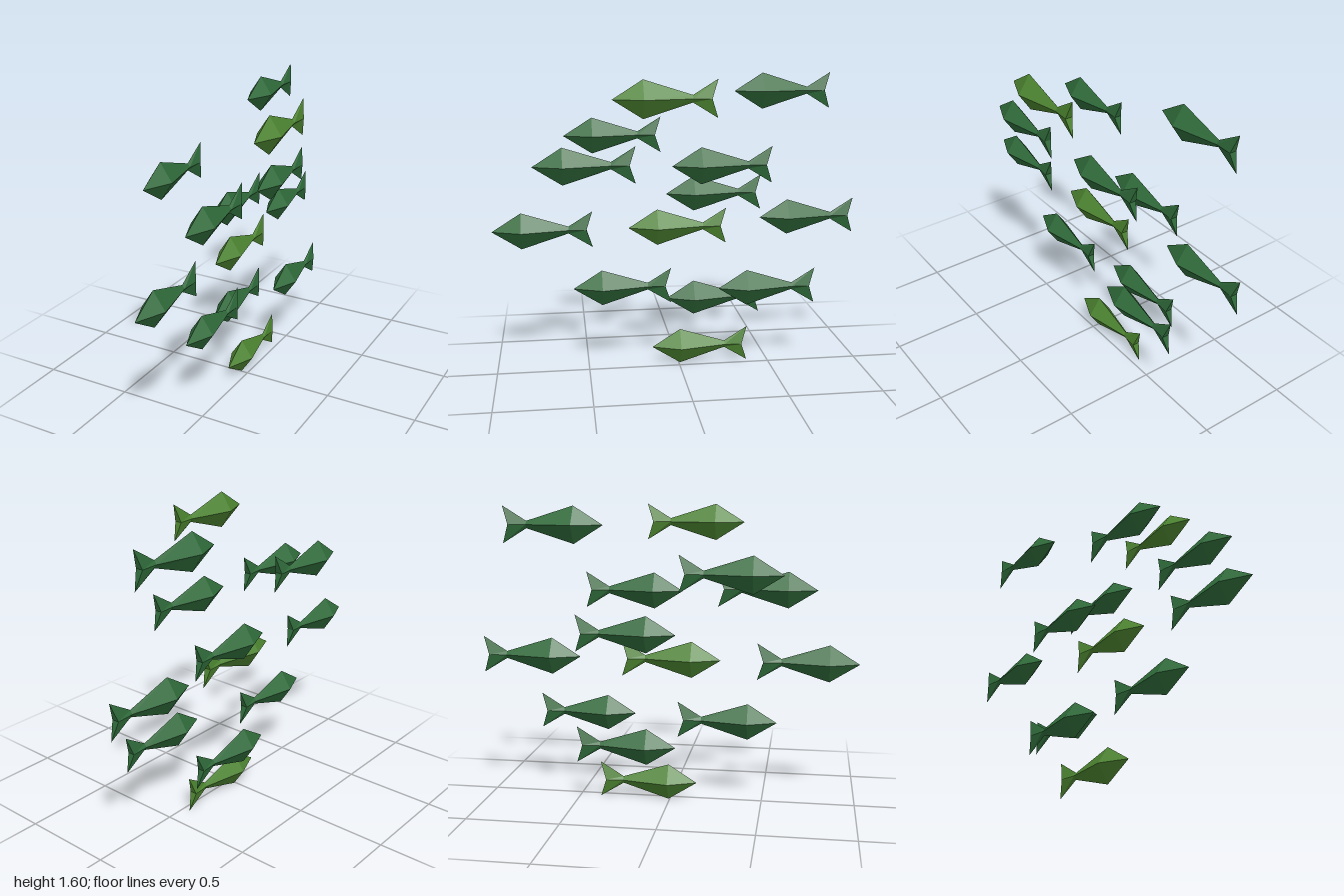
import * as THREE from 'three';

// Diamond cross-sections from nose to tail: half width, half height, z of side corners, z of top/bottom corners
const SECTIONS = [
  [0, 0, 0, 0],
  [0.066, 0.098, -0.155, -0.155],
  [0.014, 0.019, -0.405, -0.405],
  [0.02, 0.098, -0.5, -0.533],
];

// Fish body: faceted diamond loft ending in a notched tail fin, nose at the origin
function fishGeometry() {
  const rings = SECTIONS.map(([w, h, zs, zt]) => [[0, h, zt], [w, 0, zs], [0, -h, zt], [-w, 0, zs]]);
  const pos = [];
  const tri = (a, b, c) => pos.push(...a, ...b, ...c);
  for (let i = 0; i < rings.length - 1; i++) {
    const f = rings[i], r = rings[i + 1];
    for (let k = 0; k < 4; k++) {
      const n = (k + 1) % 4;
      if (i > 0) tri(f[k], f[n], r[k]);
      tri(f[n], r[n], r[k]);
    }
  }
  // rear of the tail fin
  const [top, left, bottom, right] = rings[rings.length - 1];
  tri(top, left, right);
  tri(bottom, right, left);
  const g = new THREE.BufferGeometry();
  g.setAttribute('position', new THREE.Float32BufferAttribute(pos, 3));
  g.computeVertexNormals();
  return g;
}

export function createModel() {
  const school = new THREE.Group();
  school.name = 'fishSchool';
  const darkGreen = new THREE.MeshStandardMaterial({ color: 0x2f6b3a, flatShading: true });
  darkGreen.name = 'dark green';
  const lightGreen = new THREE.MeshStandardMaterial({ color: 0x4c8430, flatShading: true });
  lightGreen.name = 'light green';
  const geometry = fishGeometry();

  // nose positions
  const darkFish = [
    [-0.176, 1.502, -0.325], [-0.238, 1.264, 0.608], [0.1, 1.152, 0.776],
    [0.086, 1.138, 0.052], [-0.183, 0.94, 0.052], [-0.128, 0.804, -0.467],
    [-0.04, 0.786, 1], [-0.04, 0.456, 0.576], [0.056, 0.456, -0.205],
    [-0.183, 0.336, 0.052],
  ];
  const lightFish = [[0.235, 1.502, 0.37], [-0.04, 0.786, 0.273], [-0.04, 0.101, 0.148]];

  const addFish = (list, material, name) => list.forEach((p, i) => {
    const fish = new THREE.Mesh(geometry, material);
    fish.name = name + (i + 1);
    fish.position.set(...p);
    school.add(fish);
  });
  addFish(darkFish, darkGreen, 'darkFish');
  addFish(lightFish, lightGreen, 'lightFish');
  return school;
}
